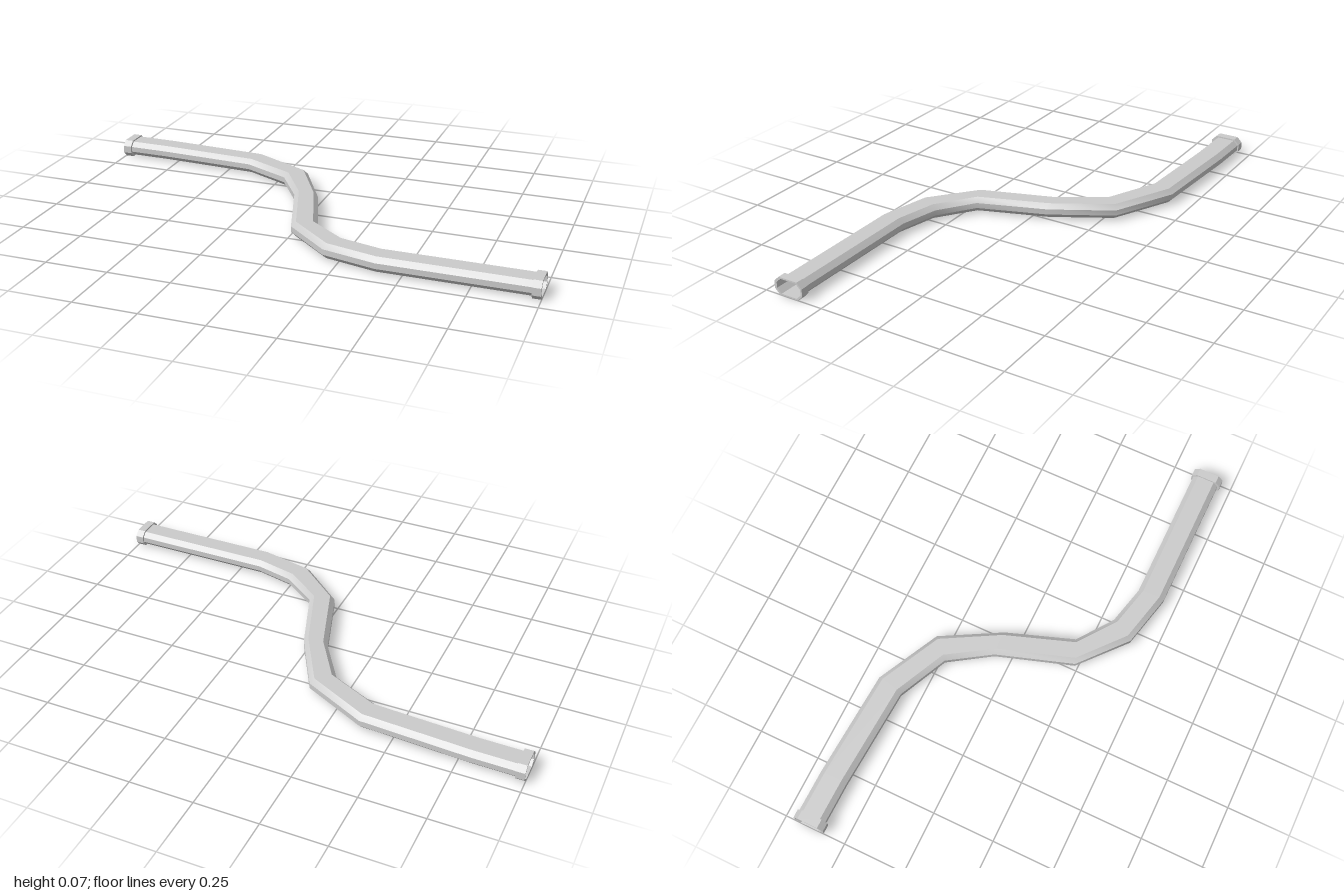
import * as THREE from 'three';

// Octagonal section: w = offset across as a fraction of the edge chamfer, y = height
function octagon(back, front, y0, y1, chamfer) {
  const dx = front[0] - back[0], dz = front[1] - back[1];
  const c = chamfer / Math.hypot(dx, dz);
  return [
    [0, y0 + chamfer], [0, y1 - chamfer], [c, y1], [1 - c, y1],
    [1, y1 - chamfer], [1, y0 + chamfer], [1 - c, y0], [c, y0],
  ].map(([t, y]) => new THREE.Vector3(back[0] + dx * t, y, back[1] + dz * t));
}

// Skin a row of sections; every side strip has its own vertices so long edges stay sharp
function loft(sections) {
  const positions = [], index = [];
  const sides = sections[0].length;
  for (let k = 0; k < sides; k++) {
    sections.forEach((ring, i) => {
      const a = positions.length / 3;
      positions.push(...ring[k].toArray(), ...ring[(k + 1) % sides].toArray());
      if (i < sections.length - 1) index.push(a, a + 1, a + 3, a, a + 3, a + 2);
    });
  }
  const geometry = new THREE.BufferGeometry();
  geometry.setAttribute('position', new THREE.Float32BufferAttribute(positions, 3));
  geometry.setIndex(index);
  geometry.computeVertexNormals();
  return geometry;
}

export function createModel() {
  const model = new THREE.Group();
  model.name = 'bentDuct';

  const tubeSection = (b, f) => octagon(b, f, 0.006, 0.066, 0.019);
  const collarSection = (b, f) => octagon(b, f, 0, 0.072, 0.021);

  // Back edge and front edge (x, z) at each bend
  const stations = [
    [[-1, -0.455], [-1, -0.345]],
    [[-0.8, -0.452], [-0.8, -0.342]],
    [[-0.37, -0.427], [-0.395, -0.32]],
    [[-0.12, -0.302], [-0.198, -0.228]],
    [[0.01, -0.067], [-0.09, -0.062]],
    [[0.105, 0.2], [0.01, 0.24]],
    [[0.245, 0.302], [0.192, 0.397]],
    [[0.402, 0.34], [0.405, 0.447]],
    [[1, 0.34], [1, 0.447]],
  ];
  const duct = new THREE.Mesh(
    loft(stations.map(([b, f]) => tubeSection(b, f))),
    new THREE.MeshStandardMaterial({ color: 0xcccccc, side: THREE.DoubleSide }),
  );
  duct.name = 'duct';
  model.add(duct);

  // Raised collars around both open ends
  const collarMaterial = new THREE.MeshStandardMaterial({
    color: 0xcccccc, flatShading: true, side: THREE.DoubleSide,
  });
  const collars = [
    ['rightCollar', -1, -0.965, -0.455, -0.345, -0.46, -0.335],
    ['leftCollar', 0.967, 1, 0.34, 0.447, 0.333, 0.457],
  ];
  for (const [name, x0, x1, innerBack, innerFront, outerBack, outerFront] of collars) {
    const collar = new THREE.Mesh(loft([
      tubeSection([x0, innerBack], [x0, innerFront]),
      collarSection([x0, outerBack], [x0, outerFront]),
      collarSection([x1, outerBack], [x1, outerFront]),
      tubeSection([x1, innerBack], [x1, innerFront]),
    ]), collarMaterial);
    collar.name = name;
    model.add(collar);
  }
  return model;
}
